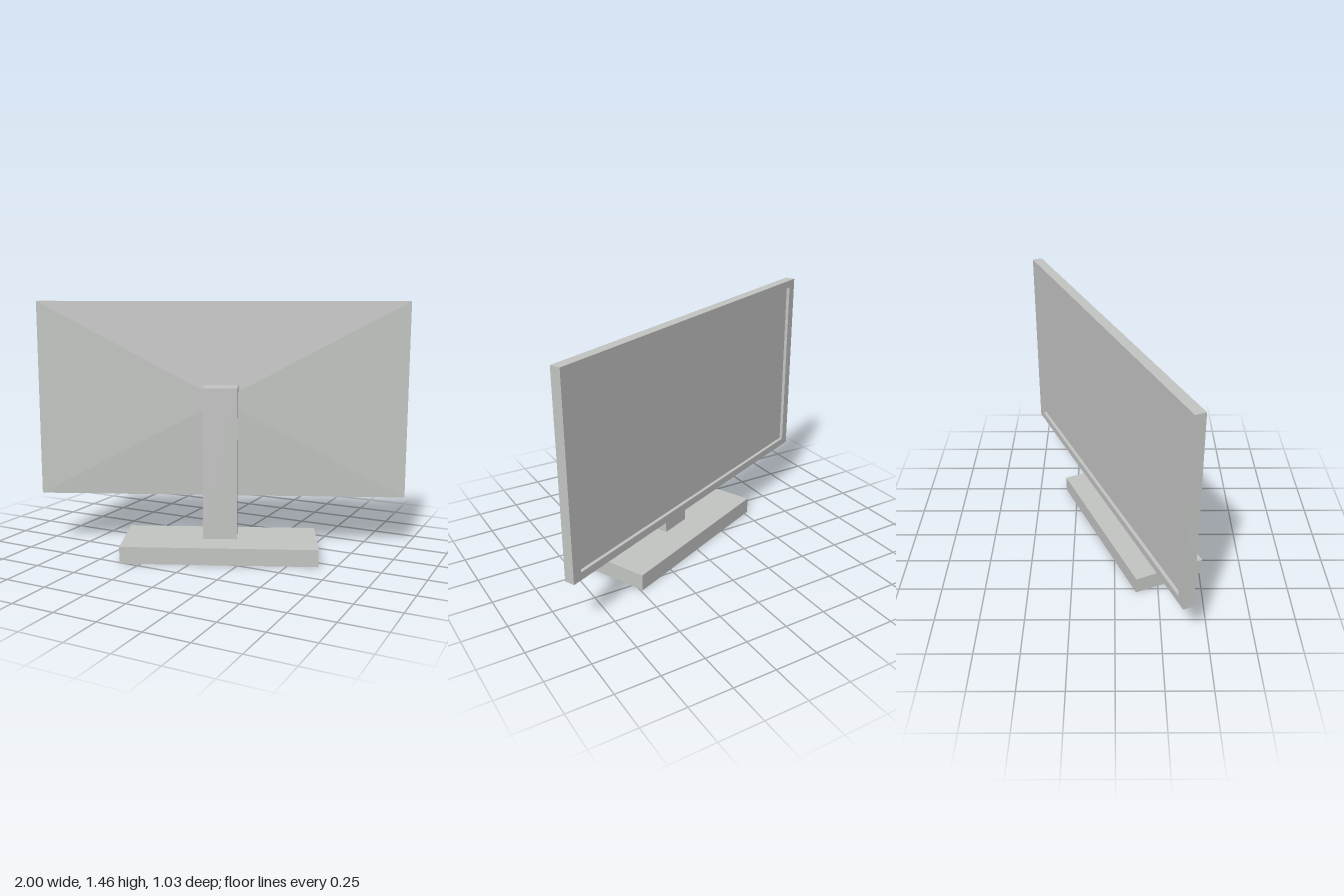
import * as THREE from 'three';

const grey = new THREE.MeshStandardMaterial({ color: 0xc4c6c4 });
grey.name = 'plain grey';

function part(name, geometry, x = 0, y = 0, z = 0) {
  const mesh = new THREE.Mesh(geometry, grey);
  mesh.name = name;
  mesh.position.set(x, y, z);
  return mesh;
}

function rectangle(path, w, h) {
  path.moveTo(-w / 2, -h / 2);
  path.lineTo(w / 2, -h / 2);
  path.lineTo(w / 2, h / 2);
  path.lineTo(-w / 2, h / 2);
  path.closePath();
  return path;
}

export function createModel() {
  const model = new THREE.Group();
  model.name = 'monitor';

  // Everything is laid out square, then the whole monitor is turned
  const turned = new THREE.Group();
  turned.name = 'turnedMonitor';
  turned.rotation.y = 0.4128;
  model.add(turned);

  const cx = 0.022; // common centre line
  const W = 2.156, H = 1.142, cy = 0.886;
  const screenZ = -0.085, recess = 0.02, backZ = -0.025, bulge = 0.025;

  // Panel: bezel around a recessed screen, on a slab
  const panel = new THREE.Group();
  panel.name = 'panel';
  panel.position.set(cx, cy, 0);
  turned.add(panel);

  const outline = rectangle(new THREE.Shape(), W, H);
  outline.holes.push(rectangle(new THREE.Path(), W - 0.114, H - 0.09));
  const bezel = new THREE.ExtrudeGeometry(outline, { depth: recess, bevelEnabled: false });
  panel.add(part('bezel', bezel, 0, 0, screenZ));

  const slabDepth = backZ - screenZ - recess;
  panel.add(part('screenSlab', new THREE.BoxGeometry(W, H, slabDepth), 0, 0, backZ - slabDepth / 2));

  // Shallow four-sided pyramid forming the back cover
  let cover = new THREE.ConeGeometry(Math.SQRT1_2, 1, 4, 1, true);
  cover.rotateY(Math.PI / 4).rotateX(Math.PI / 2).scale(W, H, bulge);
  cover = cover.toNonIndexed();
  cover.computeVertexNormals();
  panel.add(part('backCover', cover, 0, 0, backZ + bulge / 2));

  // Neck with a head reaching to the panel, drawn as a (z, y) side profile
  const neckWidth = 0.196;
  const profile = new THREE.Shape([
    [0.077, 0.098], [0.151, 0.098], [0.151, 0.975],
    [-0.004, 0.975], [-0.004, 0.795], [0.077, 0.795],
  ].map(([z, y]) => new THREE.Vector2(z, y)));
  const neck = new THREE.ExtrudeGeometry(profile, { depth: neckWidth, bevelEnabled: false });
  neck.rotateY(-Math.PI / 2).translate(neckWidth / 2, 0, 0);
  turned.add(part('neck', neck, cx, 0, 0));

  // Foot
  turned.add(part('base', new THREE.BoxGeometry(1.114, 0.098, 0.428), cx, 0.049, 0.114));

  return model;
}
